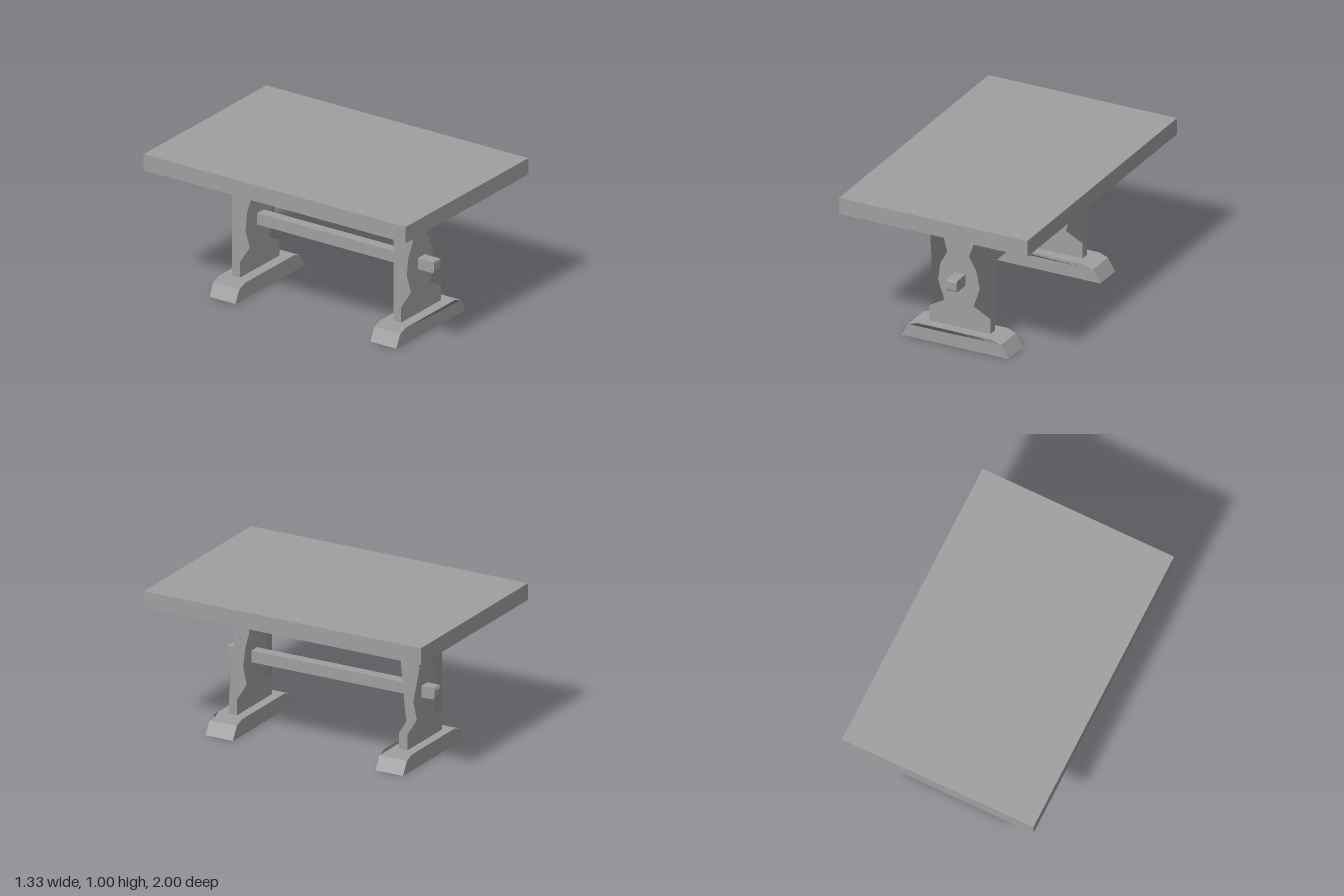
import * as THREE from 'three';

const material = new THREE.MeshStandardMaterial({ color: 0xa0a0a0, side: THREE.DoubleSide });
material.name = 'grey wood';

// Panel between zFront and zBack. Outline runs counter-clockwise seen from the front.
// Each run of outline points becomes one rim face, fanned from its corner number `apex`.
function panel(name, outline, runs, zFront, zBack, apex) {
  const pos = [], nor = [];
  const pts = outline.map(([x, y]) => new THREE.Vector2(x, y));
  const at = (i, z) => new THREE.Vector3(pts[i].x, pts[i].y, z);
  const tri = (a, b, c, n) => {
    for (const v of [a, b, c]) { pos.push(v.x, v.y, v.z); nor.push(n.x, n.y, n.z); }
  };
  // front and back faces
  for (const [a, b, c] of THREE.ShapeUtils.triangulateShape(pts, [])) {
    tri(at(a, zFront), at(b, zFront), at(c, zFront), new THREE.Vector3(0, 0, 1));
    tri(at(c, zBack), at(b, zBack), at(a, zBack), new THREE.Vector3(0, 0, -1));
  }
  // rim faces, each with one averaged normal
  for (const run of runs) {
    const poly = [...run].reverse().map(i => at(i, zFront)).concat(run.map(i => at(i, zBack)));
    const n = new THREE.Vector3();
    poly.forEach((p, i) => n.add(p.clone().cross(poly[(i + 1) % poly.length])));
    n.normalize();
    const start = run.length > 2 ? apex : 0;
    const p = k => poly[(start + k) % poly.length];
    for (let k = 1; k < poly.length - 1; k++) tri(p(0), p(k), p(k + 1), n);
  }
  const geo = new THREE.BufferGeometry();
  geo.setAttribute('position', new THREE.Float32BufferAttribute(pos, 3));
  geo.setAttribute('normal', new THREE.Float32BufferAttribute(nor, 3));
  const mesh = new THREE.Mesh(geo, material);
  mesh.name = name;
  return mesh;
}

const LEG = [
  [-0.213, 0.105], [0.218, 0.105],
  [0.218, 0.21], [0.1, 0.27], [0.143, 0.4], [0.118, 0.52], [0.067, 0.605], [0.1, 0.7], [0.218, 0.8],
  [0.218, 0.89], [-0.213, 0.89],
  [-0.213, 0.8], [-0.112, 0.7], [-0.087, 0.605], [-0.135, 0.52], [-0.152, 0.4], [-0.106, 0.27], [-0.213, 0.21],
];
const LEG_RUNS = [
  [0, 1], [1, 2], [2, 3, 4, 5, 6, 7, 8], [8, 9], [9, 10], [10, 11],
  [11, 12, 13, 14, 15, 16, 17], [17, 0],
];
const FOOT = [[-0.37, 0], [0.382, 0], [0.332, 0.085], [0.27, 0.107], [-0.262, 0.107], [-0.325, 0.085]];
const FOOT_RUNS = [[0, 1], [1, 2], [2, 3, 4, 5], [5, 0]];

export function createModel() {
  const group = new THREE.Group();
  group.name = 'trestleTable';

  // table top
  const top = new THREE.Mesh(new THREE.BoxGeometry(1.33, 0.11, 2), material);
  top.name = 'tableTop';
  top.position.y = 0.945;
  group.add(top);

  // carved legs and their feet
  group.add(panel('frontLeg', LEG, LEG_RUNS, 0.647, 0.587, 13));
  group.add(panel('backLeg', LEG, LEG_RUNS, -0.583, -0.643, 7));
  group.add(panel('frontFoot', FOOT, FOOT_RUNS, 0.72, 0.522, 0));
  group.add(panel('backFoot', FOOT, FOOT_RUNS, -0.508, -0.706, 0));

  // stretcher through both legs, with slightly chamfered ends
  const side = new THREE.Shape([
    [-0.73, 0.402], [0.762, 0.402], [0.767, 0.415], [0.767, 0.467], [0.762, 0.479],
    [-0.73, 0.479], [-0.738, 0.46], [-0.738, 0.42],
  ].map(([z, y]) => new THREE.Vector2(z, y)));
  const bar = new THREE.ExtrudeGeometry(side, { depth: 0.072, bevelEnabled: false });
  bar.rotateY(-Math.PI / 2).translate(0.043, 0, 0);
  const stretcher = new THREE.Mesh(bar, material);
  stretcher.name = 'stretcher';
  group.add(stretcher);

  return group;
}
